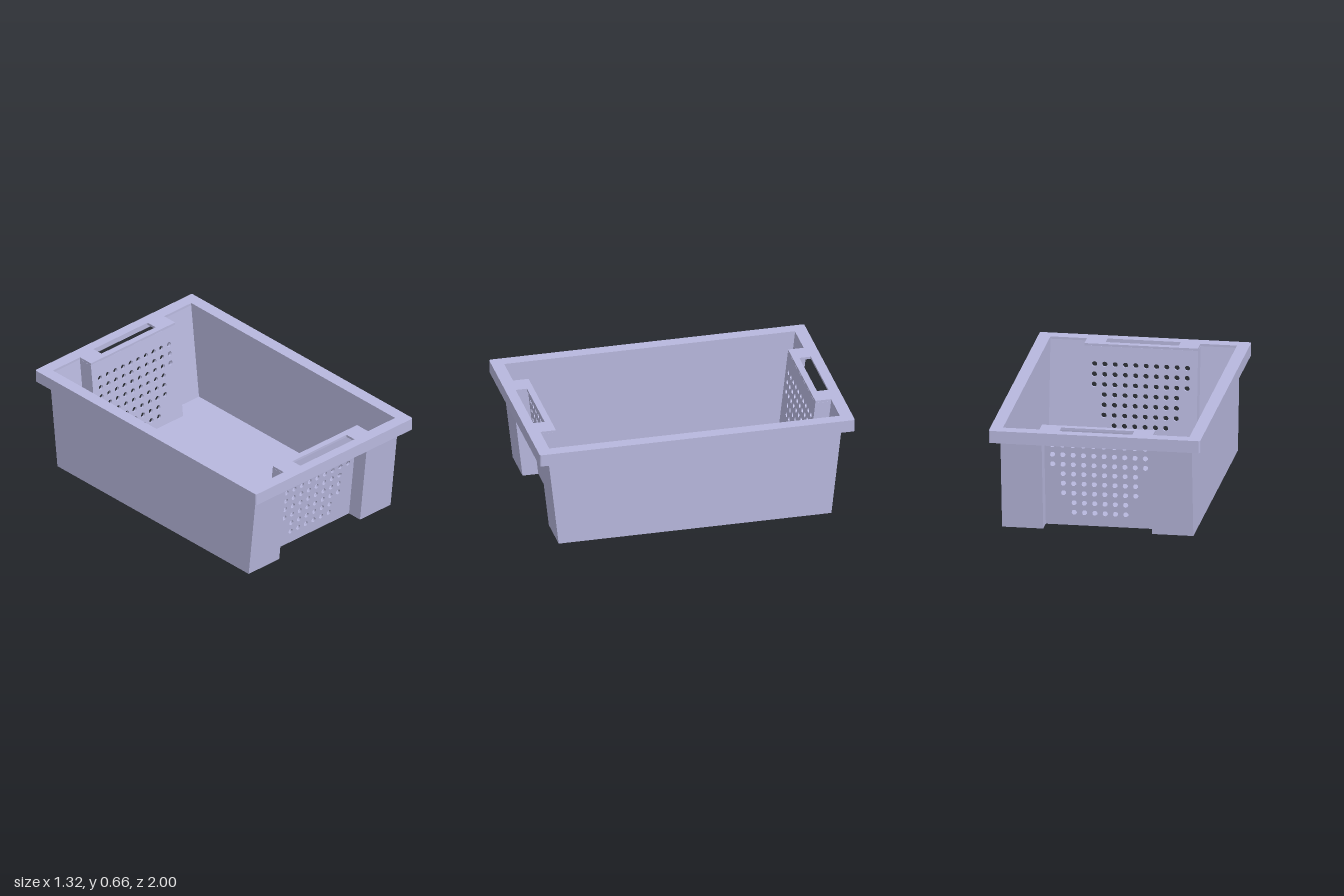
import * as THREE from 'three';

const T = 0.015;                 // wall thickness
const TOP = 0.66, PLATE = 0.645; // rim top, underside of rim plate
const SLOPE = 0.112;             // outward lean of the end walls
const PITCH = 0.0644, HOLE_R = 0.0165;
const material = new THREE.MeshStandardMaterial({ color: 0xb8b8de });

const polygon = (pts) => new THREE.Shape(pts.map(([x, y]) => new THREE.Vector2(x, y)));
const rect = (x0, y0, x1, y1) => polygon([[x0, y0], [x1, y0], [x1, y1], [x0, y1]]);

// Rectangle centred on the origin with rounded corners
function roundedRect(w, h, r) {
  const s = new THREE.Shape();
  s.absarc(w - r, h - r, r, 0, Math.PI / 2);
  s.absarc(-w + r, h - r, r, Math.PI / 2, Math.PI);
  s.absarc(-w + r, -h + r, r, Math.PI, Math.PI * 1.5);
  s.absarc(w - r, -h + r, r, Math.PI * 1.5, Math.PI * 2);
  return s;
}

// Outline with a notch in the middle of both short ends
const notched = (x, z, nx, nz) => polygon([
  [-x, -z], [-nx, -z], [-nx, -nz], [nx, -nz], [nx, -z], [x, -z],
  [x, z], [nx, z], [nx, nz], [-nx, nz], [-nx, z], [-x, z]]);

const extrude = (shape, depth) =>
  new THREE.ExtrudeGeometry(shape, { depth, bevelEnabled: false, curveSegments: 8 });

// Horizontal slab from y0 to y1
const slab = (shape, y0, y1) => extrude(shape, y1 - y0).rotateX(-Math.PI / 2).translate(0, y0, 0);

// Centred rows of round holes, each row given as [height, count]
function perforate(shape, rows) {
  for (const [y, n] of rows) {
    for (let i = 0; i < n; i++) {
      const hole = new THREE.Path();
      hole.absarc((i - (n - 1) / 2) * PITCH, y, HOLE_R, 0, Math.PI * 2, true);
      shape.holes.push(hole);
    }
  }
  return shape;
}

// End panel spanning z0..z1 at the floor, leaning outward with height
function leaning(shape, z0, z1) {
  const g = extrude(shape, z1 - z0).translate(0, 0, z0);
  const p = g.attributes.position;
  for (let i = 0; i < p.count; i++) p.setZ(i, p.getZ(i) + SLOPE * p.getY(i));
  g.computeVertexNormals();
  return g;
}

function add(parent, name, geometry) {
  const mesh = new THREE.Mesh(geometry, material);
  mesh.name = name;
  parent.add(mesh);
  return mesh;
}

// One short end: recessed perforated panel, its two cheeks and the corner panels
function endWall(name) {
  const end = new THREE.Group();
  end.name = name;
  const rows = [0.533, 0.469, 0.405, 0.342, 0.278, 0.214, 0.15, 0.086]
    .map((y, i) => [y, i < 3 ? 10 : i < 6 ? 8 : 6]);
  add(end, 'recessedPanel', leaning(perforate(rect(-0.355, 0, 0.355, PLATE), rows), 0.75, 0.765));
  for (const s of [-1, 1]) {
    const span = (a, b) => rect(Math.min(s * a, s * b), 0, Math.max(s * a, s * b), PLATE);
    add(end, 'recessCheek', leaning(span(0.34, 0.355), 0.765, 0.85));
    add(end, 'cornerPanel', leaning(span(0.34, 0.584), 0.85, 0.865));
  }
  return end;
}

export function createModel() {
  const crate = new THREE.Group();
  crate.name = 'crate';

  // Floor, notched to follow the end recesses
  add(crate, 'floor', slab(notched(0.59, 0.86, 0.346, 0.76), 0, T));

  // Long side walls with tapering rows of holes
  const zTop = 0.865 + SLOPE * PLATE;
  for (const s of [-1, 1]) {
    const shape = polygon([[-0.865, 0], [0.865, 0], [zTop, PLATE], [-zTop, PLATE]]);
    const rows = [0.428, 0.363, 0.297, 0.232, 0.166, 0.1].map((y, i) => [y, 21 - i]);
    const g = extrude(perforate(shape, rows), T).rotateY(Math.PI / 2);
    add(crate, s > 0 ? 'leftWall' : 'rightWall', g.translate(s > 0 ? 0.582 : -0.597, 0, 0));
  }

  // Short ends
  crate.add(endWall('frontWall'));
  const back = endWall('backWall');
  back.rotation.y = Math.PI;
  crate.add(back);

  // Rim plate with the opening and two hand slots
  const plate = roundedRect(0.66, 1, 0.012);
  plate.holes.push(notched(0.582, 0.922, 0.354, 0.823));
  for (const s of [-1, 1]) plate.holes.push(rect(-0.228, s * 0.9 - 0.036, 0.228, s * 0.9 + 0.036));
  add(crate, 'rimPlate', slab(plate, PLATE, TOP));

  // Skirt hanging from the rim
  const skirt = roundedRect(0.66, 1, 0.012);
  skirt.holes.push(rect(-0.646, -0.986, 0.646, 0.986));
  add(crate, 'rimSkirt', slab(skirt, 0.582, PLATE));

  return crate;
}
